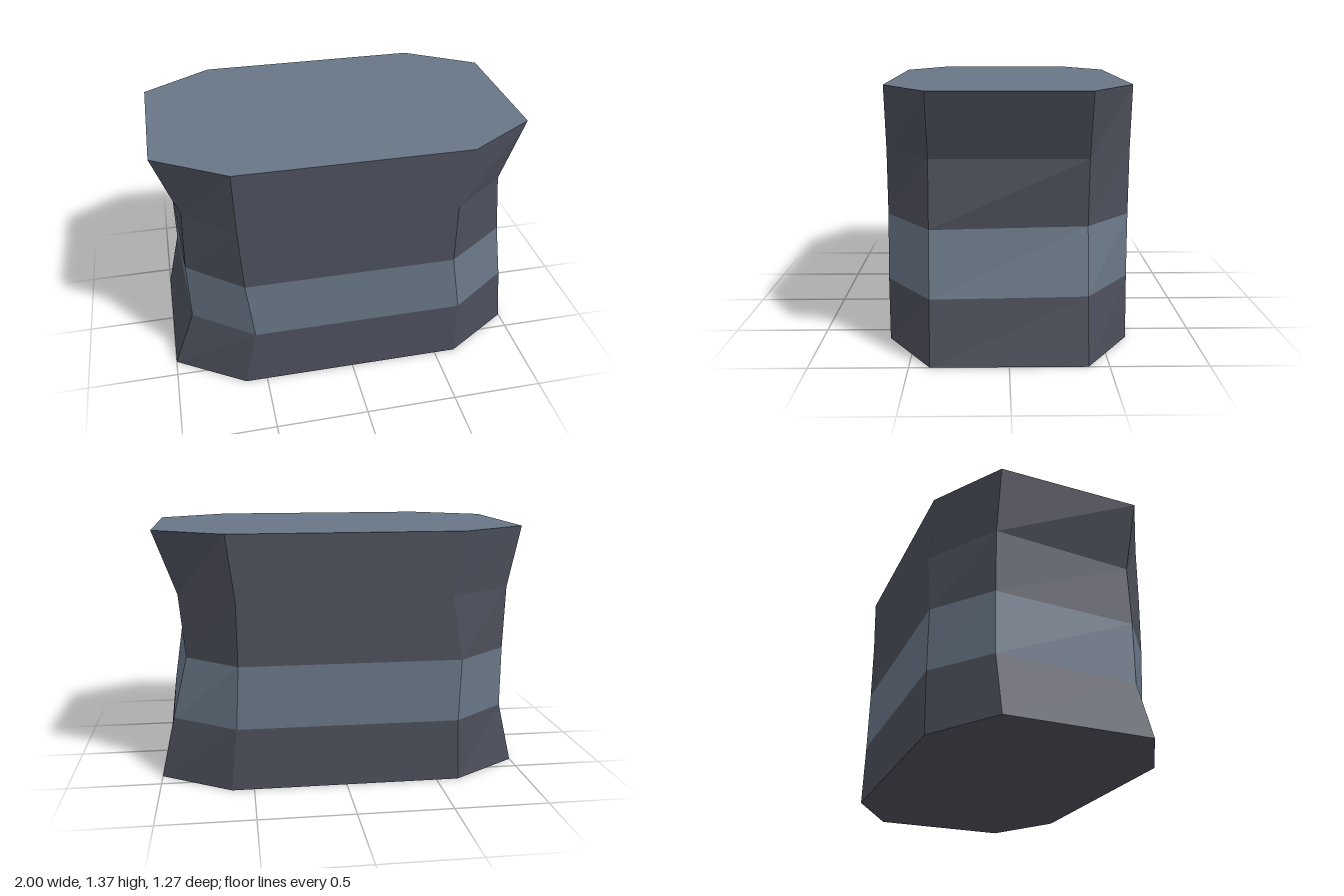
import * as THREE from 'three';

const HEIGHTS = [0, 0.34, 0.68, 1.025, 1.365];
// Depth of each octagon corner, counter-clockwise from front left
const Z = [0.635, 0.635, 0.395, -0.395, -0.635, -0.635, -0.395, 0.395];
const END = [-0.62, 0.62, 1, 1, 0.62, -0.62, -1, -1];
// Sideways position of each corner at each height: pinched, uneven middle
const RINGS = [
  END,
  [-0.55, 0.615, 0.96, 0.925, 0.585, -0.61, -0.92, -0.878],
  [-0.59, 0.56, 0.908, 0.845, 0.57, -0.62, -0.92, -0.885],
  [-0.61, 0.56, 0.872, 0.876, 0.575, -0.56, -0.93, -0.873],
  END,
];

const corner = (row, i) => [RINGS[row][i % 8], HEIGHTS[row], Z[i % 8]];

function makeMesh(name, points, material) {
  const geometry = new THREE.BufferGeometry();
  geometry.setAttribute('position', new THREE.Float32BufferAttribute(points.flat(), 3));
  geometry.computeVertexNormals(); // unshared corners give flat facets
  const mesh = new THREE.Mesh(geometry, material);
  mesh.name = name;
  return mesh;
}

// Eight-sided wall between two neighbouring rings
function wall(row) {
  const points = [];
  for (let i = 0; i < 8; i++) {
    const a = corner(row, i), b = corner(row, i + 1);
    const c = corner(row + 1, i + 1), d = corner(row + 1, i);
    points.push(a, b, c, a, c, d);
  }
  return points;
}

// Flat octagon closing one end
function cap(row, up) {
  const points = [];
  for (let i = 1; i < 7; i++) {
    const p = corner(row, i), q = corner(row, i + 1);
    points.push(corner(row, 0), ...(up ? [p, q] : [q, p]));
  }
  return points;
}

export function createModel() {
  const dark = new THREE.MeshStandardMaterial({ color: 0x4c4f5b });
  dark.name = 'darkStone';
  const light = new THREE.MeshStandardMaterial({ color: 0x687686 });
  light.name = 'lightStone';

  const group = new THREE.Group();
  group.name = 'rockBlock';
  group.add(
    makeMesh('base', wall(0), dark),
    makeMesh('lightBand', wall(1), light),
    makeMesh('upperBody', [...wall(2), ...wall(3)], dark),
    makeMesh('topFace', cap(4, true), light),
    makeMesh('bottomFace', cap(0, false), dark),
  );
  return group;
}
